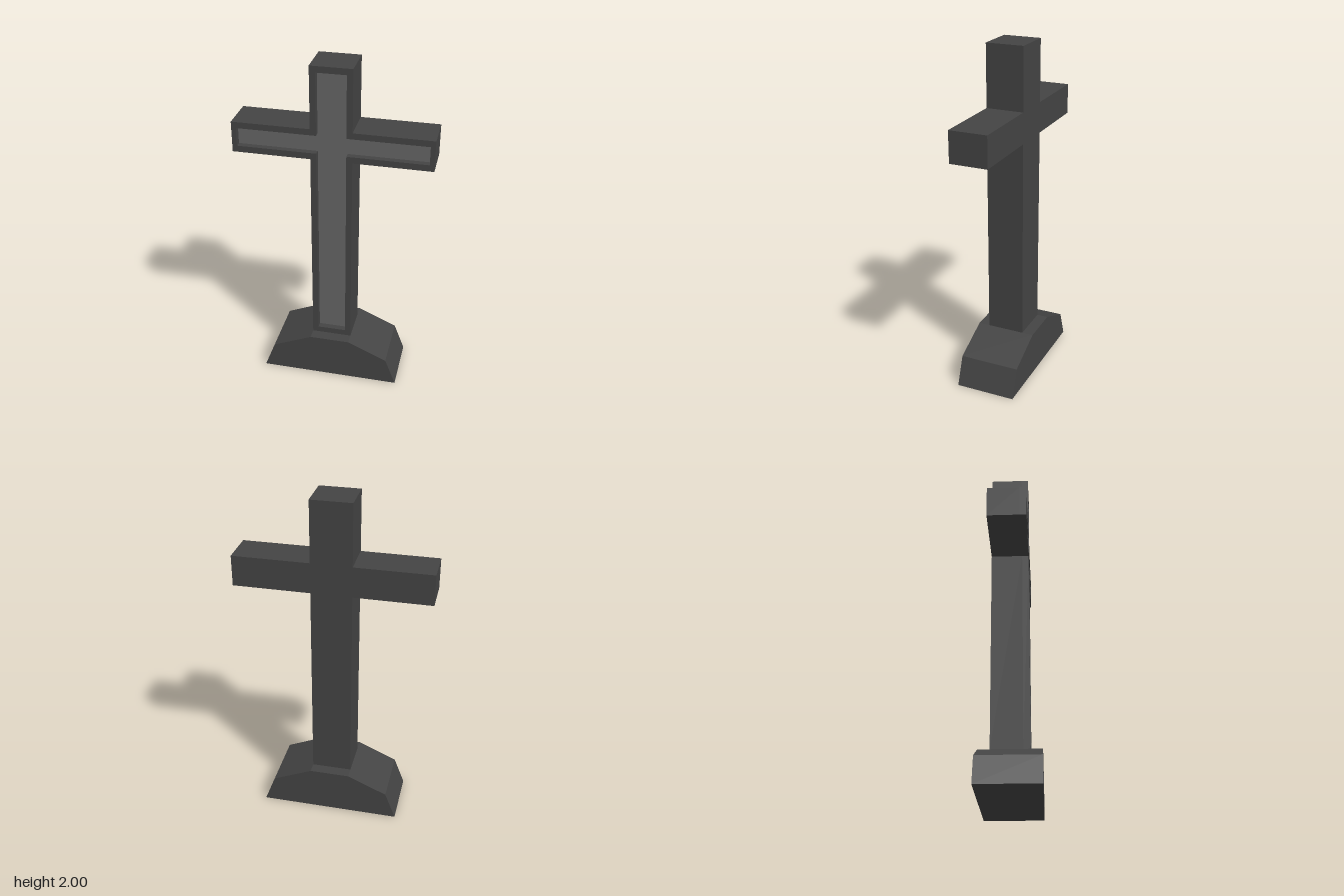
import * as THREE from 'three';

// Cross outline: post half width, arm half length, and y of bottom, arm bottom, arm top, top
function crossPoints(w, a, y0, y1, y2, y3) {
  return [
    [-w, y0], [w, y0], [w, y1], [a, y1], [a, y2], [w, y2],
    [w, y3], [-w, y3], [-w, y2], [-a, y2], [-a, y1], [-w, y1],
  ].map(([x, y]) => new THREE.Vector2(x, y));
}

// Extrude a shape between two z planes
function slab(shape, zBack, zFront) {
  const geometry = new THREE.ExtrudeGeometry(shape, { depth: zFront - zBack, bevelEnabled: false });
  return geometry.translate(0, 0, zBack);
}

export function createModel() {
  const model = new THREE.Group();
  model.name = 'stoneCross';

  const darkStone = new THREE.MeshStandardMaterial({ color: 0x444444 });
  darkStone.name = 'darkStone';
  const paleStone = new THREE.MeshStandardMaterial({ color: 0x666666 });
  paleStone.name = 'paleStone';

  const add = (name, geometry, material) => {
    const mesh = new THREE.Mesh(geometry, material);
    mesh.name = name;
    model.add(mesh);
  };

  const outer = crossPoints(0.118, 0.565, 0.268, 1.46, 1.64, 2);
  const inner = crossPoints(0.084, 0.538, 0.304, 1.497, 1.604, 1.964);
  const front = 0.11;
  const recess = 0.072;

  // Solid cross body behind the recess
  add('crossBody', slab(new THREE.Shape(outer), -front, recess), darkStone);

  // Raised rim around the recess
  const rim = new THREE.Shape(outer);
  rim.holes.push(new THREE.Path(inner));
  add('crossRim', slab(rim, recess, front), darkStone);

  // Pale floor of the recess
  const panel = new THREE.ShapeGeometry(new THREE.Shape(inner));
  add('insetPanel', panel.translate(0, 0, recess + 0.002), paleStone);

  // Stepped-slope base with a flat top as wide as the post
  const base = new THREE.Shape([
    [-0.415, 0], [0.415, 0], [0.352, 0.166], [0.118, 0.268], [-0.118, 0.268], [-0.352, 0.166],
  ].map(([x, y]) => new THREE.Vector2(x, y)));
  add('base', slab(base, -0.177, 0.177), darkStone);

  return model;
}
